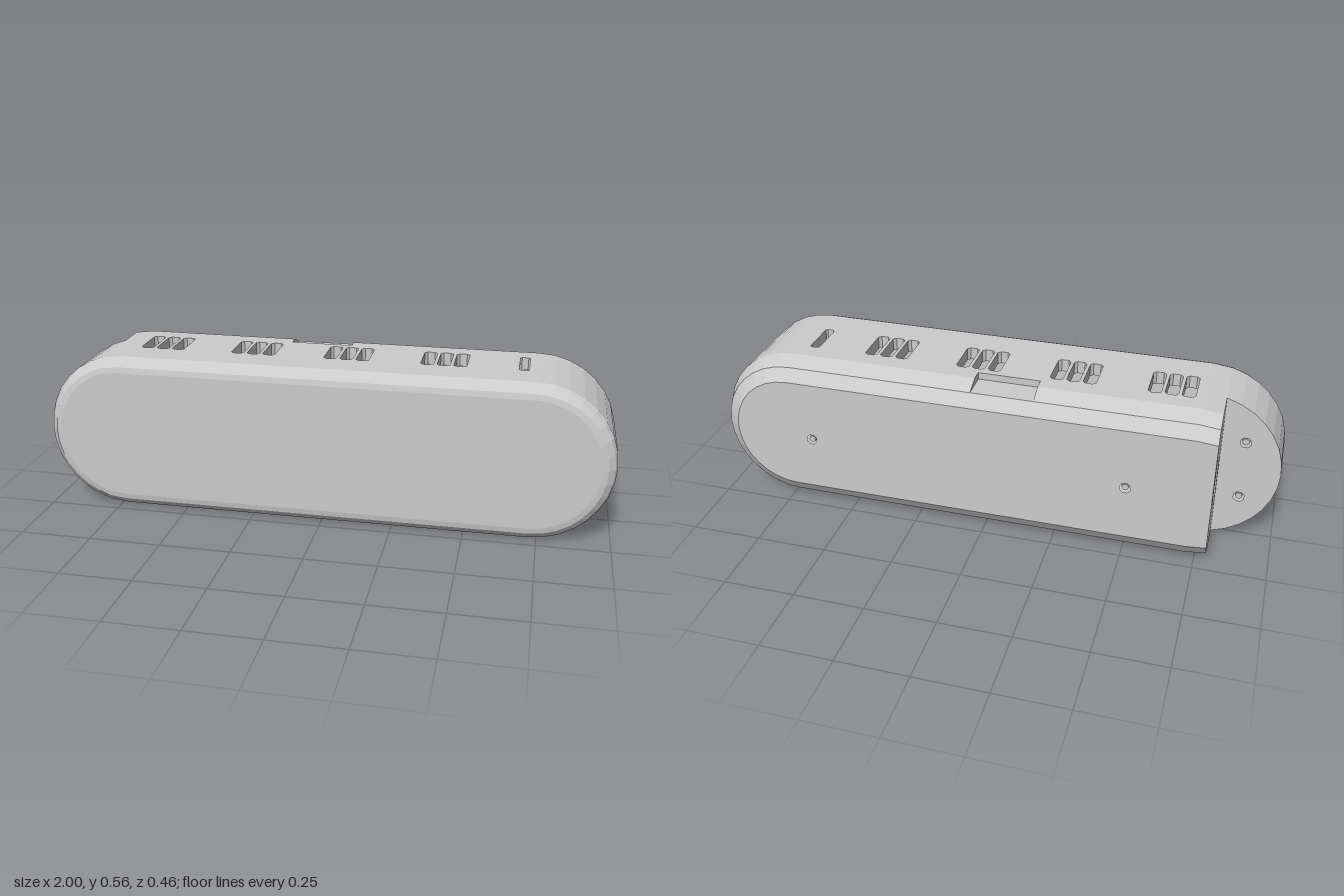
import * as THREE from 'three';

const R = 0.281, CX = 0.719, CUT = -0.79, SHELF = -0.03, WALL = 0.045;
const mat = new THREE.MeshStandardMaterial({ color: 0xcccccc, flatShading: true, side: THREE.DoubleSide });

// Edge profile from front to back: [inset from outline, z]
const profile = [[0.05, 0.23], [0.03, 0.226], [0.008, 0.208], [0, 0.19], [0, SHELF], [0, -0.14], [0.025, -0.2], [0.07, -0.23]];
const WALL_ROWS = [3, 4], CLIP_ROW = 5, SHELF_ROW = 4;
const CLIP = [-0.17, 0.05];
const cutAngle = Math.acos((CUT + CX) / R);

// Stadium outline, counter-clockwise from the lower left
function makeOutline() {
  const pts = [{ cx: -CX, a: -Math.PI / 2 }];
  const n = 16;
  for (let i = 0; i <= n; i++) pts.push({ cx: CX, a: -Math.PI / 2 + Math.PI * i / n });
  pts.push({ cx: CLIP[1], a: Math.PI / 2 }, { cx: CLIP[0], a: Math.PI / 2 }, { cx: -CX, a: Math.PI / 2 });
  const span = 2 * (Math.PI - cutAngle);
  for (let i = 0; i <= 14; i++) {
    pts.push({ cx: -CX, a: cutAngle + span * i / 14, step: true, edge: i === 0 || i === 14 });
  }
  return pts;
}

function place(p, [inset, z]) {
  const r = R - inset;
  return [p.edge ? CUT : p.cx + r * Math.cos(p.a), R + r * Math.sin(p.a), z];
}

// Rounded skin; straight walls, clip recess and stepped end are left open
function skinGeometry(outline) {
  const pos = [];
  outline.forEach((p, i) => {
    const q = outline[(i + 1) % outline.length];
    const straight = p.cx !== q.cx;
    const clip = p.cx === CLIP[1] && q.cx === CLIP[0];
    for (let k = 0; k < profile.length - 1; k++) {
      if (straight && WALL_ROWS.includes(k)) continue;
      if (clip && k === CLIP_ROW) continue;
      if (p.step && q.step && k >= SHELF_ROW) continue;
      const a = place(p, profile[k]), b = place(q, profile[k]);
      const c = place(q, profile[k + 1]), d = place(p, profile[k + 1]);
      pos.push(...a, ...d, ...c, ...a, ...c, ...b);
    }
  });
  const g = new THREE.BufferGeometry();
  g.setAttribute('position', new THREE.Float32BufferAttribute(pos, 3));
  g.computeVertexNormals();
  return g;
}

const polygon = (pts) => new THREE.Shape(pts.map(([x, y]) => new THREE.Vector2(x, y)));

// Slot hole with clipped corners
function slot(x, y, w, h, c) {
  const u = w / 2, v = h / 2;
  return new THREE.Path([[-u + c, -v], [u - c, -v], [u, -v + c], [u, v - c], [u - c, v], [-u + c, v], [-u, v - c], [-u, -v + c]]
    .map(([a, b]) => new THREE.Vector2(x + a, y + b)));
}

// Straight wall with the rows of vents
function ventWall(withClip) {
  const pts = [[-CX, -0.19], [CX, -0.19], [CX, 0.14]];
  if (withClip) pts.push([CLIP[1], 0.14], [CLIP[1], 0.1], [CLIP[0], 0.1], [CLIP[0], 0.14]);
  pts.push([-CX, 0.14]);
  const s = polygon(pts);
  for (const x of [-0.61, -0.275, 0.06, 0.4]) {
    for (const i of [-1, 0, 1]) s.holes.push(slot(x + i * 0.057, 0, 0.045, 0.145, 0.01));
  }
  s.holes.push(slot(0.672, 0, 0.034, 0.145, 0.006));
  const g = new THREE.ExtrudeGeometry(s, { depth: WALL, bevelEnabled: false });
  return g.rotateX(-Math.PI / 2);
}

export function createModel() {
  const group = new THREE.Group();
  const add = (name, geometry) => {
    const m = new THREE.Mesh(geometry, mat);
    m.name = name;
    group.add(m);
    return m;
  };
  const outline = makeOutline();
  add('roundedShell', skinGeometry(outline));
  add('topVentWall', ventWall(true)).position.y = 2 * R - WALL;
  add('bottomVentWall', ventWall(false));

  // Front and back faces
  add('frontFace', new THREE.ShapeGeometry(polygon(outline.map((p) => place(p, profile[0]))))).position.z = 0.23;
  const back = polygon(outline.filter((p) => !p.step || p.edge).map((p) => place(p, profile[7])));
  const pits = [[-0.5, 0.27], [0.64, 0.27]];
  pits.forEach(([x, y]) => back.holes.push(slot(x, y, 0.036, 0.036, 0.01)));
  add('backFace', new THREE.ShapeGeometry(back)).position.z = -0.23;

  // Lowered shelf at the stepped end
  const shelf = polygon(outline.filter((p) => p.step).map((p) => place(p, profile[SHELF_ROW])));
  const shelfPits = [[-0.87, R - 0.11], [-0.87, R + 0.11]];
  shelfPits.forEach(([x, y]) => shelf.holes.push(slot(x, y, 0.036, 0.036, 0.01)));
  add('endShelf', new THREE.ShapeGeometry(shelf)).position.z = SHELF;

  // Screw pits behind the small holes
  const pit = (x, y, z) => add('screwPit', new THREE.CylinderGeometry(0.012, 0.021, 0.05, 8).rotateX(-Math.PI / 2)
    .toNonIndexed()).position.set(x, y, z + 0.03);
  pits.forEach(([x, y]) => pit(x, y, -0.23));
  shelfPits.forEach(([x, y]) => pit(x, y, SHELF));

  // Step wall with the port opening, drawn in (-z, y)
  const edge = outline.find((p) => p.edge);
  const side = profile.slice(SHELF_ROW).map((pr) => place(edge, pr));
  const wall = polygon([...side.map(([, y, z]) => [-z, y]), ...side.reverse().map(([, y, z]) => [-z, 2 * R - y])]);
  wall.holes.push(slot(0.13, R, 0.06, 0.2, 0.025));
  add('portWall', new THREE.ShapeGeometry(wall).rotateY(Math.PI / 2)).position.x = CUT;
  add('portBack', new THREE.BoxGeometry(0.02, 0.24, 0.1)).position.set(CUT + 0.06, R, -0.13);

  // Clip recess in the top rear edge
  add('clipFloor', new THREE.BoxGeometry(CLIP[1] - CLIP[0], 0.03, 0.1))
    .position.set((CLIP[0] + CLIP[1]) / 2, 0.522, -0.15);
  const cheek = polygon([[0.1, 0.56], [0.14, 0.562], [0.2, 0.537], [0.2, 0.51], [0.1, 0.51]]);
  for (const x of CLIP) add('clipCheek', new THREE.ShapeGeometry(cheek).rotateY(Math.PI / 2)).position.x = x;

  return group;
}
